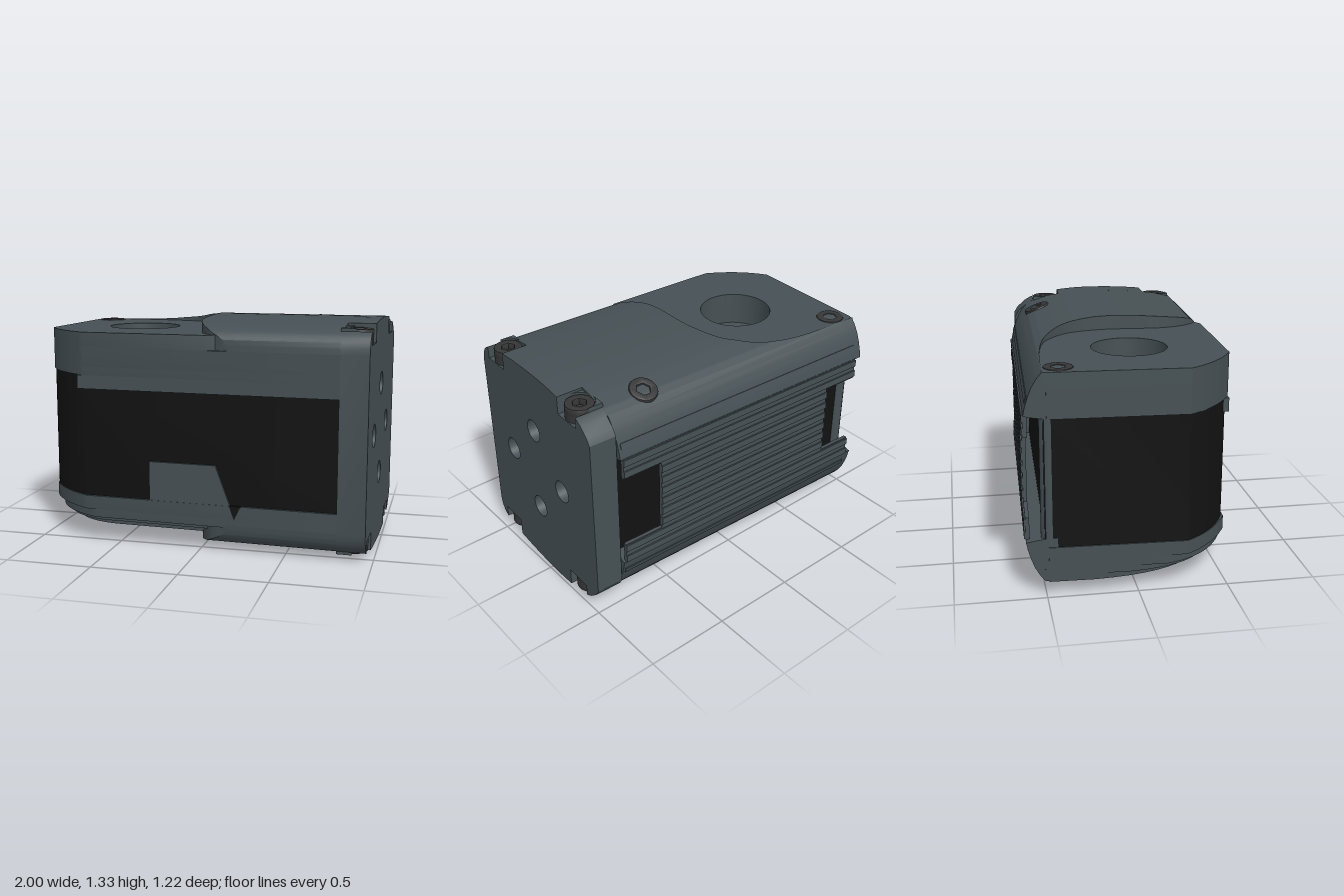
import * as THREE from 'three';
import { toCreasedNormals } from 'three/addons/utils/BufferGeometryUtils.js';

const H = 1.333; // overall height
const END = 0.825; // where the shell meets the end plate
const HOLE = [-0.489, 0.048]; // bore axis (x, z)
const shellMat = new THREE.MeshStandardMaterial({ color: 0x465054 });
const blackMat = new THREE.MeshStandardMaterial({ color: 0x121212 });
const screwMat = new THREE.MeshStandardMaterial({ color: 0x363636 });
const crownMat = new THREE.MeshStandardMaterial({ color: 0x465054, side: THREE.DoubleSide });

function mesh(name, geo, mat) {
  const m = new THREE.Mesh(geo, mat);
  m.name = name;
  return m;
}

function circlePath(x, y, r, n = 40) {
  const pts = [];
  for (let i = 0; i < n; i++) {
    const a = (i / n) * Math.PI * 2;
    pts.push(new THREE.Vector2(x + r * Math.cos(a), y + r * Math.sin(a)));
  }
  return new THREE.Path(pts);
}

function extrude(pts, depth, holes = []) {
  const s = new THREE.Shape(pts.map(p => new THREE.Vector2(p[0], p[1])));
  s.holes = holes;
  return toCreasedNormals(new THREE.ExtrudeGeometry(s, { depth, bevelEnabled: false }), 0.55);
}

// Horizontal slab: plan points (x, z), raised from y0 to y1, with an optional bore
function slab(pts, y0, y1, r) {
  const holes = r ? [circlePath(HOLE[0], -HOLE[1], r, 56)] : [];
  return extrude(pts.map(([x, z]) => [x, -z]), y1 - y0, holes).rotateX(-Math.PI / 2).translate(0, y0, 0);
}

// Bar along x: section points (z, y), from x0 to x1
function bar(pts, x0, x1, holes) {
  return extrude(pts.map(([z, y]) => [-z, y]), x1 - x0, holes).rotateY(Math.PI / 2).translate(x0, 0, 0);
}

// Plan outline with a rounded front corner: starts at z = cornerZ, bends round bend, ends at x = cornerX
function plan(front, { x0 = -0.99, back = -0.45, cornerZ = 0.306, bend = [-0.89, 0.47], cornerX = -0.68, tail = [] } = {}) {
  const curve = new THREE.QuadraticBezierCurve(
    new THREE.Vector2(x0, cornerZ), new THREE.Vector2(...bend), new THREE.Vector2(cornerX, front));
  const end = tail.length ? tail[tail.length - 1][1] : front;
  return [[x0, back], ...curve.getPoints(12).map(p => [p.x, p.y]), ...tail, [END, end], [END, back]];
}

// Piecewise linear lookup
function lookup(table, t) {
  for (let i = 1; i < table.length; i++) {
    const [a, va] = table[i - 1], [b, vb] = table[i];
    if (t <= b) return va + (vb - va) * Math.max(0, (t - a) / (b - a));
  }
  return table[table.length - 1][1];
}

// Arched crown height over z
const crown = [[-0.47, 1.25], [-0.43, 1.273], [-0.33, 1.305], [-0.25, 1.317], [-0.18, 1.325], [-0.1, 1.331],
  [0, H], [0.1, 1.332], [0.215, 1.327], [0.33, 1.318], [0.415, 1.307], [0.5, 1.288], [0.53, 1.27], [0.548, 1.252],
  [0.562, 1.228], [0.571, 1.2], [0.575, 1.165]];

// S-shaped edge of the raised crown: smoothed x over z
const edgePts = new THREE.CatmullRomCurve3([[-0.47, -0.99], [-0.455, -0.55], [-0.43, -0.38], [-0.39, -0.264],
  [-0.266, -0.11], [-0.1, -0.044], [0, -0.03], [0.331, -0.028], [0.45, 0.016], [0.528, 0.08], [0.565, 0.17],
  [0.575, 0.2]].map(([z, x]) => new THREE.Vector3(x, 0, z)), false, 'centripetal').getPoints(70);

// Raised crown: sections at each edge point, wall up, along the arch, and down again
function crownGeometry(flip) {
  const pos = [], idx = [];
  edgePts.forEach((p, i) => {
    const y = lookup(crown, p.z);
    for (const [x, yy] of [[p.x, 1.165], [p.x, y], [END, y], [END, 1.165]]) {
      pos.push(x, flip ? H - yy : yy, p.z);
    }
    if (!i) return;
    for (let k = 0; k < 3; k++) {
      const a = (i - 1) * 4 + k, b = a + 4;
      if (flip) idx.push(a, a + 1, b, a + 1, b + 1, b);
      else idx.push(a, b, a + 1, a + 1, b, b + 1);
    }
  });
  const g = new THREE.BufferGeometry();
  g.setAttribute('position', new THREE.Float32BufferAttribute(pos, 3));
  g.setIndex(idx);
  return toCreasedNormals(g, 0.55);
}

// Socket-head screw, turned about x by tilt
function screw(x, z, y, tilt) {
  const g = new THREE.Group();
  g.name = 'socketScrew';
  const head = new THREE.Shape(circlePath(0, 0, 0.081, 32).getPoints());
  head.holes.push(circlePath(0, 0, 0.04, 6));
  const rim = new THREE.ExtrudeGeometry(head, {
    depth: 0.032, bevelEnabled: true, bevelSize: 0.008, bevelOffset: -0.008, bevelThickness: 0.008, bevelSegments: 2,
  }).rotateX(-Math.PI / 2).translate(0, -0.04, 0);
  g.add(mesh('screwHead', toCreasedNormals(rim, 0.5), screwMat));
  const base = mesh('screwBase', new THREE.CylinderGeometry(0.081, 0.081, 0.045, 32), screwMat);
  base.position.y = -0.062;
  g.add(base);
  g.position.set(x, y, z);
  g.rotation.x = tilt;
  return g;
}

export function createModel() {
  const model = new THREE.Group();
  model.name = 'housing';
  const add = (name, geo, mat = shellMat) => model.add(mesh(name, geo, mat));

  // Dark inner core with the through bore
  add('innerCore', slab(plan(0.56, { x0: -0.983, back: -0.47 }), 0.28, 1.0, 0.31), blackMat);

  // Upper deck in layers, with the bore and its inner lip
  add('upperFrontLip', slab([[-0.72, 0.42], [-0.72, 0.575], [END, 0.575], [END, 0.42]], 0.92, 1.0));
  add('boreLip', slab(plan(0.575), 1.0, 1.05, 0.16));
  add('upperDeck', slab(plan(0.575), 1.05, 1.165, 0.215));
  add('upperDeckTop', slab(plan(0.575, { tail: [[0.06, 0.575], [0.19, 0.5]] }), 1.165, 1.25, 0.215));

  // Lower deck, stepping in around the wider counterbore
  add('lowerDeck', slab(plan(0.575), 0.2, 0.28, 0.31));
  add('lowerDeckEdge', slab(plan(0.57, { cornerZ: 0.2, bend: [-0.92, 0.46], cornerX: -0.62 }), 0.15, 0.2, 0.31));
  add('lowerDeckStep', slab(plan(0.5, { cornerZ: 0, bend: [-0.95, 0.44], cornerX: -0.6 }), 0.115, 0.15, 0.37));
  add('lowerDeckBottom', slab(plan(0.445, { cornerZ: -0.2, bend: [-0.95, 0.42], cornerX: -0.55 }), 0.08, 0.115, 0.37));

  // Front tab over the opening, with the small dark notch beside it
  add('frontTab', extrude([[-0.28, 0.27], [0.21, 0.27], [0.12, 0.51], [-0.28, 0.51]], 0.02).translate(0, 0, 0.553));
  add('tabNotch', extrude([[0.203, 0.281], [0.232, 0.2], [0.272, 0.281]], 0.02).translate(0, 0, 0.557), blackMat);

  // Raised crowns and curved rear shoulders, above and below
  const shoulder = [[-0.4, 1.25], [-0.47, 1.25], [-0.5, 1.213], [-0.525, 1.17], [-0.545, 1.12], [-0.56, 1.07],
    [-0.571, 1.02], [-0.52, 1.01], [-0.45, 1.0], [-0.4, 1.0]];
  for (const flip of [false, true]) {
    const side = flip ? 'lower' : 'upper';
    add(side + 'Crown', crownGeometry(flip), crownMat);
    add(side + 'RearShoulder', bar(shoulder.map(([z, y]) => [z, flip ? H - y : y]), -0.985, 0.815));
    // Low rail along each shoulder
    const rail = mesh('shoulderRail', new THREE.BoxGeometry(1.74, 0.035, 0.03), shellMat);
    rail.position.set(-0.07, flip ? H - 1.09 : 1.09, -0.543);
    rail.rotation.x = flip ? -0.3 : 0.3;
    model.add(rail);
  }

  // Thin rear panel with a window notched into each end
  const [wl, wr, wb, wt] = [-0.71, 0.55, 0.44, 0.89];
  add('rearPanel', extrude([[-0.94, 0.31], [0.8, 0.31], [0.8, wb], [wr, wb], [wr, wt], [0.8, wt], [0.8, 1.023],
    [-0.94, 1.023], [-0.94, wt], [wl, wt], [wl, wb], [-0.94, wb]], 0.022).translate(0, 0, -0.572));

  // Low horizontal cooling ribs
  for (let i = 0; i < 10; i++) {
    const y = H / 2 + (i - 4.5) * 0.073;
    const [a, b] = y > wb && y < wt ? [wl, wr] : [-0.94, 0.8];
    const rib = mesh('rearRib', new THREE.BoxGeometry(b - a, 0.042, 0.02), shellMat);
    rib.position.set((a + b) / 2, y, -0.57);
    model.add(rib);
  }

  // Upright pillar at the open end
  const pillar = mesh('cornerPillar', new THREE.CylinderGeometry(0.045, 0.045, 0.74, 24), shellMat);
  pillar.position.set(-0.942, H / 2, -0.445);
  model.add(pillar);

  // End plate: crowned outline, screw slots and four holes
  const slots = [[-0.333, 0.086], [0.418, 0.086]];
  const inSlot = z => slots.some(([c, w]) => Math.abs(z - c) <= w);
  const top = [[-0.545, 1.165], [-0.52, 1.205], ...crown.filter(p => !inSlot(p[0]))];
  for (const [c, w] of slots) {
    const [l, r] = [c - w, c + w];
    top.push([l, lookup(crown, l)], [l + 1e-4, 1.212], [r - 1e-4, 1.212], [r, lookup(crown, r)]);
  }
  top.sort((a, b) => a[0] - b[0]);
  const outline = [...top, ...top.map(([z, y]) => [z, H - y]).reverse()];
  const plateHoles = [[0, 1], [1, 0], [0, -1], [-1, 0]].map(([dz, dy]) =>
    circlePath(-(0.046 + dz * 0.267), 0.682 + dy * 0.267, 0.067, 28));
  add('endPlate', bar(outline, 0.82, 0.982, plateHoles));

  // Rounded inner end of each slot, and its screw, above and below
  for (const [c, w] of slots) {
    const pocket = [[0.81, c - w], [0.81, c + w]];
    for (let i = 0; i <= 16; i++) {
      const a = Math.PI * (0.5 + i / 16);
      pocket.push([0.898 + 0.085 * Math.cos(a), c + w * Math.sin(a)]);
    }
    add('slotEnd', slab(pocket, 1.2, 1.303));
    add('slotEnd', slab(pocket, H - 1.303, H - 1.2));
    model.add(screw(0.898, c, 1.297, 0), screw(0.898, c, H - 1.297, Math.PI));
  }

  // Screws on the deck and on the sloping rear of the crown
  model.add(screw(-0.885, -0.379, 1.256, 0), screw(0.546, -0.415, 1.288, -0.38));

  // The whole housing sits at a slight turn
  model.rotation.y = -0.036;
  const root = new THREE.Group();
  root.name = 'model';
  root.add(model);
  return root;
}
